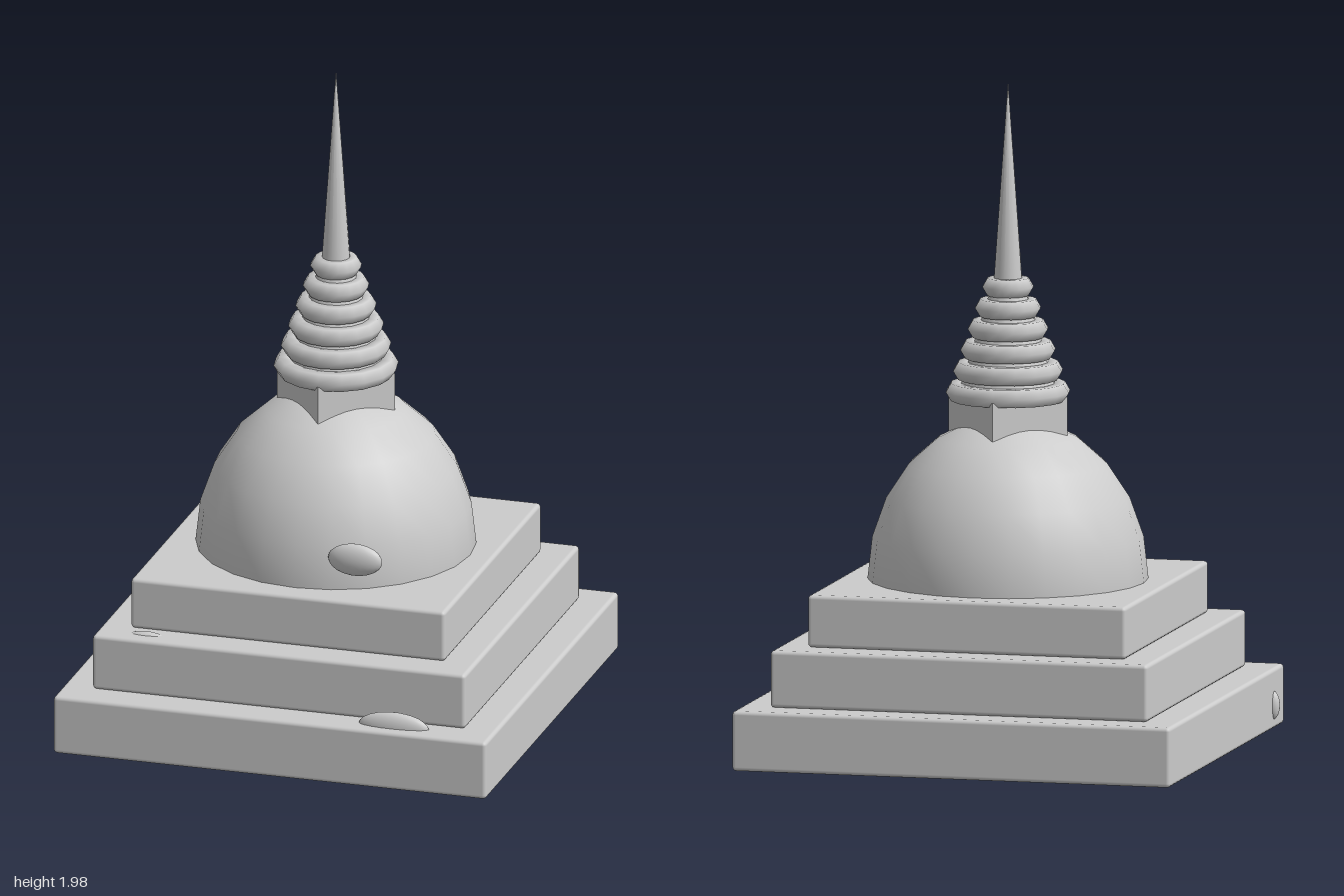
import * as THREE from 'three';
import { RoundedBoxGeometry } from 'three/addons/geometries/RoundedBoxGeometry.js';

export function createModel() {
  const model = new THREE.Group();
  const stone = new THREE.MeshStandardMaterial({ color: 0xcccccc });
  stone.name = 'pale stone';

  const CX = 0.006; // shared axis of the tower
  const add = (name, geometry, x, y, z) => {
    const mesh = new THREE.Mesh(geometry, stone);
    mesh.name = name;
    mesh.position.set(x, y, z);
    model.add(mesh);
    return mesh;
  };

  // Three stepped square terraces
  [
    [1.328, 0.01, 0.188],
    [1.144, 0.188, 0.357],
    [0.964, 0.357, 0.512],
  ].forEach(([side, y0, y1], i) => {
    const box = new RoundedBoxGeometry(side, y1 - y0, side, 2, 0.012);
    add(`terrace${i + 1}`, box, CX, (y0 + y1) / 2, 0);
  });

  // Faceted-outline dome, slightly taller than a hemisphere
  const dome = new THREE.SphereGeometry(1, 24, 6, 0, Math.PI * 2, 0, Math.PI / 2);
  add('dome', dome, CX, 0.512, 0).scale.set(0.412, 0.48, 0.412);

  // Square block set diagonally on the dome
  const block = add('squareBlock', new THREE.BoxGeometry(0.255, 0.16, 0.255), CX, 0.975, 0);
  block.rotation.y = Math.PI / 4;

  // Stacked rings, shrinking upwards around a tapered core
  const RINGS = 6;
  const TUBE = 0.03;
  for (let i = 0; i < RINGS; i++) {
    const t = i / (RINGS - 1);
    const outer = THREE.MathUtils.lerp(0.184, 0.076, t);
    const ring = new THREE.TorusGeometry(outer - TUBE, TUBE, 6, 16);
    add(`ring${i + 1}`, ring, CX, THREE.MathUtils.lerp(1.066, 1.376, t), 0).rotation.x = Math.PI / 2;
  }
  add('ringCore', new THREE.CylinderGeometry(0.045, 0.152, 0.34, 16), CX, 1.22, 0);

  // Needle spire
  add('spire', new THREE.ConeGeometry(0.043, 0.607, 16), CX, 1.6835, 0);

  // Flattened patches half sunk in the masonry: position, then radii
  [
    ['domePatch', [0.188, 0.615, 0.4], [0.083, 0.049, 0.028]],
    ['lowerTerracePatch', [0.37, 0.185, 0.605], [0.108, 0.045, 0.027]],
    ['middleTerracePatch', [-0.417, 0.325, 0.515], [0.08, 0.04, 0.026]],
    ['sidePatch', [-0.655, 0.08, 0.545], [0.02, 0.042, 0.02]],
  ].forEach(([name, pos, radii]) => {
    add(name, new THREE.SphereGeometry(1, 20, 12), ...pos).scale.set(...radii);
  });

  return model;
}
